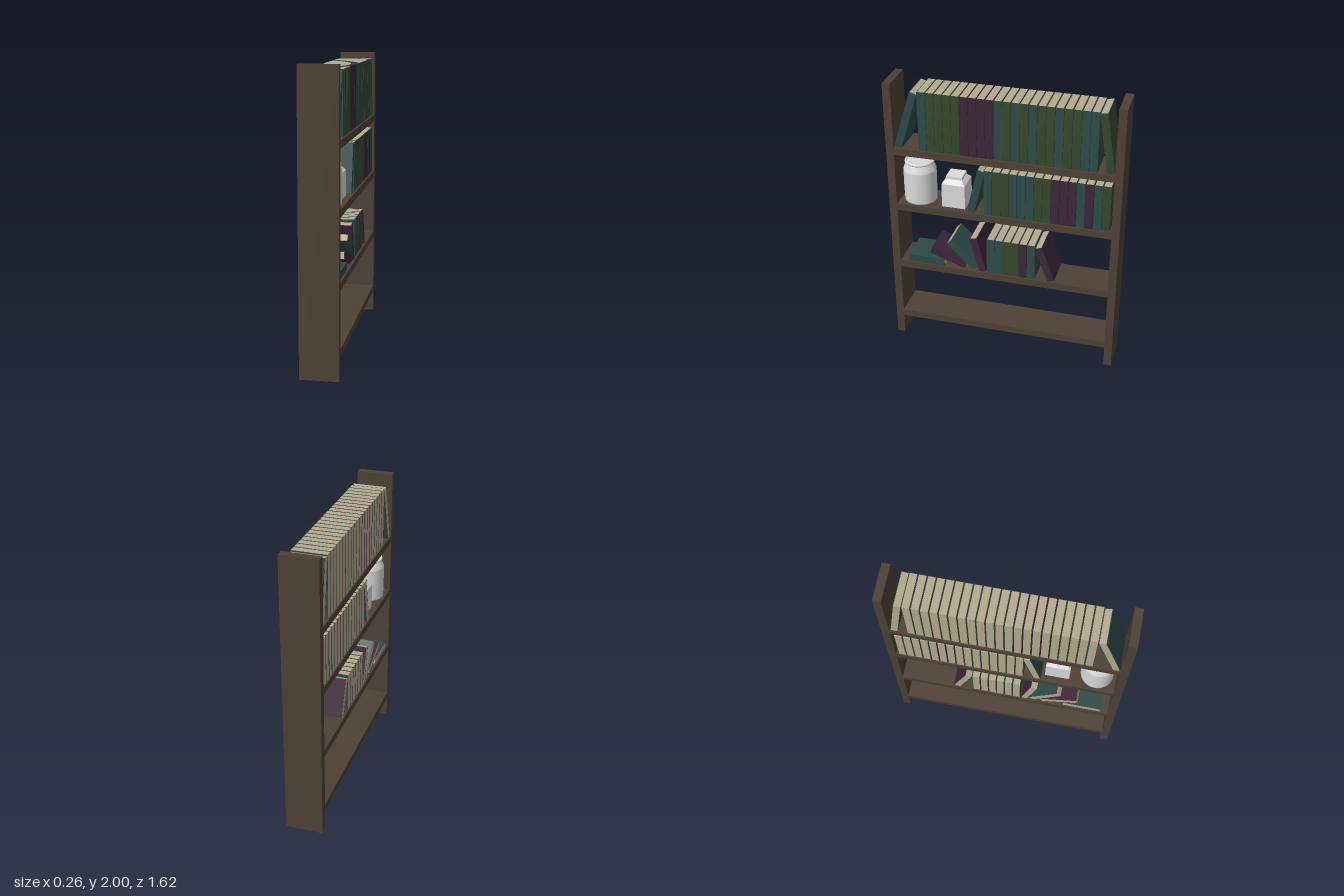
import * as THREE from 'three';

const mat = (name, color) => {
  const m = new THREE.MeshStandardMaterial({ color });
  m.name = name;
  return m;
};

export function createModel() {
  const root = new THREE.Group();
  root.name = 'bookshelf';
  const wood = mat('dark wood', 0x4e4135);
  const paper = mat('paper', 0xb5a98f);
  const ceramic = mat('pale ceramic', 0xdadada);
  const covers = {
    T: mat('teal cover', 0x2d4b48),
    G: mat('green cover', 0x35492c),
    P: mat('purple cover', 0x3c253a),
  };

  const add = (parent, name, geo, material, x, y, z) => {
    const m = new THREE.Mesh(geo, material);
    m.name = name;
    m.position.set(x, y, z);
    parent.add(m);
    return m;
  };
  const box = (parent, name, w, h, d, material, x, y, z) =>
    add(parent, name, new THREE.BoxGeometry(w, h, d), material, x, y, z);

  // Frame: two uprights and four shelves
  for (const s of [1, -1]) box(root, 'upright', 0.26, 2, 0.055, wood, 0, 1, s * 0.782);
  for (const y of [0.175, 0.61, 1.08, 1.51]) box(root, 'shelf', 0.26, 0.05, 1.51, wood, 0, y, 0);

  // A book: page block between two boards, with the spine on +x
  const depth = 0.237, board = 0.004;
  function book(colour, h, y, z, degrees = 0, t = 0.0555) {
    const g = new THREE.Group();
    g.name = 'book';
    box(g, 'pages', depth - board, h, t - 2 * board, paper, -board / 2, 0, 0);
    box(g, 'spine', board, h, t, covers[colour], depth / 2 - board / 2, 0, 0);
    for (const s of [1, -1])
      box(g, 'coverBoard', depth - board, h, board, covers[colour], -board / 2, 0, s * (t - board) / 2);
    g.position.set(-0.002, y, z);
    g.rotation.x = THREE.MathUtils.degToRad(degrees);
    root.add(g);
  }

  // Upright rows: colours from +z to -z, start z, shelf top, book height
  const slot = 0.058;
  const rows = [
    ['TGGGGPPPPTGTGTGGTGGTT', 0.579, 1.535, 0.423],
    ['TGGTTTGGPPPTPTG', 0.13, 1.105, 0.335],
    ['TTGGPT', 0.114, 0.635, 0.27],
  ];
  for (const [colours, start, base, h] of rows)
    [...colours].forEach((c, i) => book(c, h, base + h / 2, start - (i + 0.5) * slot));

  // Leaning and fallen books: colour, height, centre y, centre z, tilt
  const leaning = [
    ['T', 0.423, 1.744, 0.665, -17],
    ['G', 0.423, 1.745, -0.694, 8.4],
    ['T', 0.335, 1.273, 0.186, -13.4],
    ['P', 0.27, 0.767, -0.304, 20],
    ['P', 0.27, 0.766, 0.176, 14.6],
    ['T', 0.27, 0.749, 0.29, 46],
    ['P', 0.27, 0.709, 0.395, 70],
    ['T', 0.27, 0.662, 0.561, 90],
  ];
  for (const [c, h, y, z, a] of leaning) book(c, h, y, z, a, 0.052);

  // Round jar with sloping shoulder and rolled rim
  const v = (x, y) => new THREE.Vector2(x, y);
  const sections = [
    ['jarBody', [v(0, 0), v(0.113, 0), v(0.113, 0.01)]],
    ['jarBody', [v(0.113, 0.01), v(0.115, 0.12), v(0.115, 0.235)]],
    ['jarShoulder', [v(0.115, 0.235), v(0.108, 0.255), v(0.094, 0.285)]],
    ['jarRim', [v(0.094, 0.285), v(0.102, 0.29), v(0.104, 0.297), v(0.1, 0.304), v(0.09, 0.305)]],
    ['jarLid', [v(0.09, 0.305), v(0.086, 0.295), v(0, 0.295)]],
  ];
  for (const [name, pts] of sections)
    add(root, name, new THREE.LatheGeometry(pts, 32), ceramic, 0, 1.105, 0.62);

  // Square jar with tapered shoulder and capped neck
  const square = (name, top, bottom, y0, y1) => {
    const geo = new THREE.CylinderGeometry(top * Math.SQRT2, bottom * Math.SQRT2, y1 - y0, 4)
      .toNonIndexed();
    geo.rotateY(Math.PI / 4);
    geo.computeVertexNormals();
    add(root, name, geo, ceramic, 0, (y0 + y1) / 2, 0.357);
  };
  square('squareJarBody', 0.083, 0.083, 1.105, 1.28);
  square('squareJarShoulder', 0.053, 0.083, 1.28, 1.312);
  square('squareJarCap', 0.057, 0.057, 1.312, 1.333);

  return root;
}
